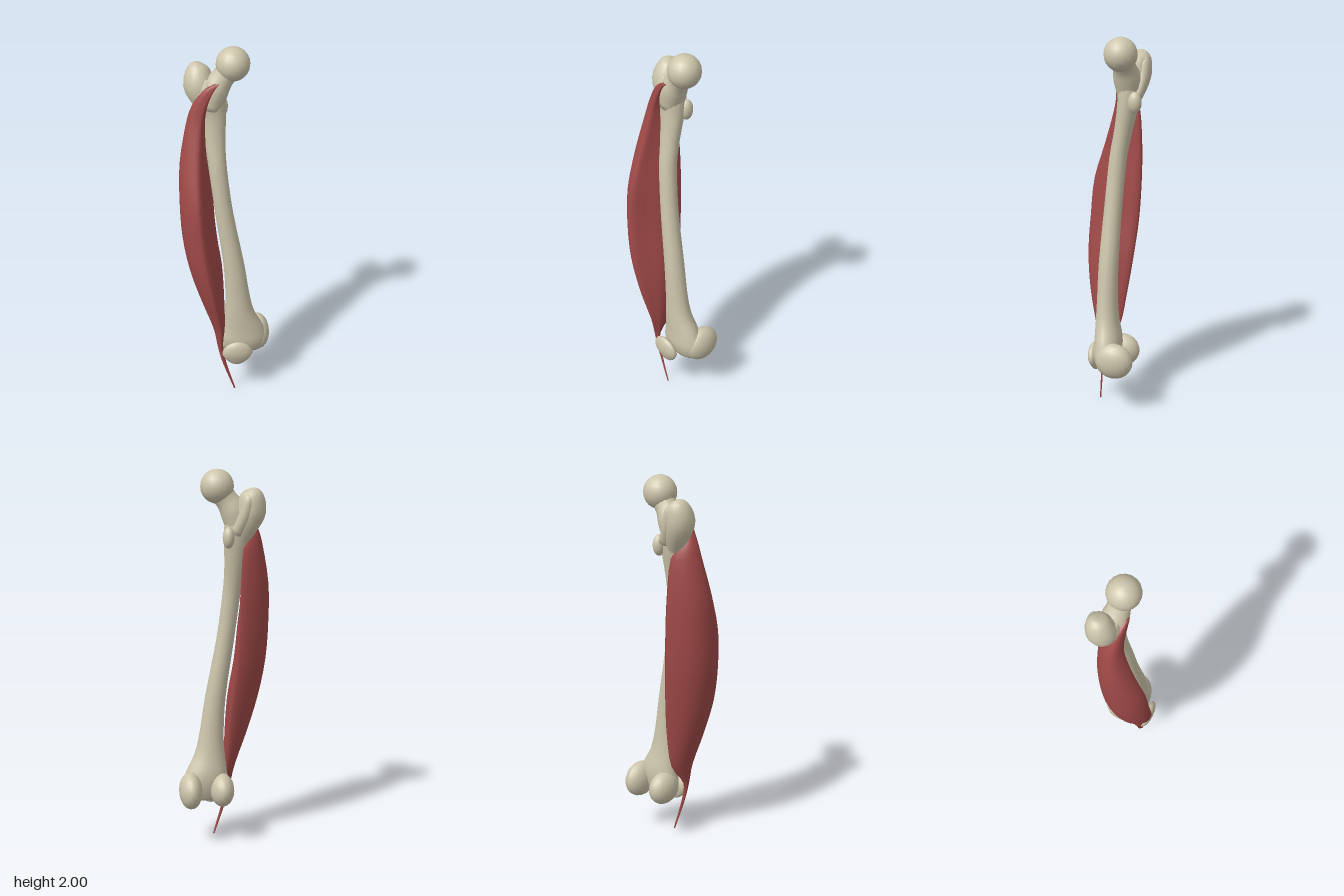
import * as THREE from 'three';

const bone = new THREE.MeshStandardMaterial({ color: 0xcdc5ab });
const flesh = new THREE.MeshStandardMaterial({ color: 0xa04a48 });
const V = (x, y, z) => new THREE.Vector3(x, y, z);

// Skin a list of equal-length rings, first ring on top, with capped ends
function loft(rings) {
  const n = rings[0].length, pos = [], idx = [];
  const add = p => pos.push(p.x, p.y, p.z);
  rings.forEach(r => r.forEach(add));
  for (let i = 0; i < rings.length - 1; i++) {
    for (let j = 0; j < n; j++) {
      const a = i * n + j, b = i * n + (j + 1) % n;
      idx.push(a, b, a + n, b, b + n, a + n);
    }
  }
  [0, rings.length - 1].forEach((k, bottom) => {
    const c = rings[k].reduce((s, p) => s.add(p), V(0, 0, 0)).divideScalar(n);
    const ci = pos.length / 3;
    add(c);
    for (let j = 0; j < n; j++) {
      const a = k * n + j, b = k * n + (j + 1) % n;
      if (bottom) idx.push(ci, a, b);
      else idx.push(ci, b, a);
    }
  });
  const g = new THREE.BufferGeometry();
  g.setAttribute('position', new THREE.Float32BufferAttribute(pos, 3));
  g.setIndex(idx);
  g.computeVertexNormals();
  return g;
}

// Smoothly resample rows of numbers with a Catmull-Rom spline
function resample(rows, steps) {
  const out = [], last = rows.length - 1;
  const cr = (a, b, c, d, t) => b + 0.5 * t * (c - a + t * (2 * a - 5 * b + 4 * c - d + t * (3 * (b - c) + d - a)));
  for (let i = 0; i < last; i++) {
    const q = [rows[Math.max(i - 1, 0)], rows[i], rows[i + 1], rows[Math.min(i + 2, last)]];
    for (let s = 0; s < steps; s++) out.push(q[1].map((_, k) => cr(q[0][k], q[1][k], q[2][k], q[3][k], s / steps)));
  }
  out.push(rows[last]);
  return out;
}

// Round limb along a path of [x, y, z, radius]
function limb(rows, sides = 16) {
  const pts = resample(rows, 3);
  return loft(pts.map((p, i) => {
    const a = pts[Math.max(i - 1, 0)], b = pts[Math.min(i + 1, pts.length - 1)];
    const dir = V(b[0] - a[0], b[1] - a[1], b[2] - a[2]).normalize();
    const q = new THREE.Quaternion().setFromUnitVectors(V(0, -1, 0), dir);
    return Array.from({ length: sides }, (_, j) => {
      const t = j / sides * Math.PI * 2;
      return V(Math.cos(t) * p[3], 0, Math.sin(t) * p[3]).applyQuaternion(q).add(V(p[0], p[1], p[2]));
    });
  }));
}

export function createModel() {
  const model = new THREE.Group();
  const put = (name, geo, mat) => {
    const m = new THREE.Mesh(geo, mat);
    m.name = name;
    model.add(m);
    return m;
  };
  const blob = (name, c, r) => {
    const m = put(name, new THREE.SphereGeometry(1, 18, 12), bone);
    m.position.set(...c);
    m.scale.set(...r);
    return m;
  };

  // Shaft: [y, centre x, centre z, radius x, radius z]
  const shaft = resample([
    [1.84, -0.10, -0.07, 0.05, 0.04], [1.77, -0.09, -0.068, 0.085, 0.066],
    [1.65, -0.066, -0.066, 0.07, 0.056], [1.5, -0.056, -0.043, 0.054, 0.048],
    [1.35, -0.043, -0.018, 0.047, 0.046], [1.1, -0.012, -0.002, 0.047, 0.047],
    [0.8, 0.037, 0.008, 0.055, 0.052], [0.6, 0.058, 0.008, 0.065, 0.055],
    [0.48, 0.07, 0.003, 0.082, 0.062], [0.38, 0.09, -0.008, 0.112, 0.072],
    [0.3, 0.095, -0.005, 0.125, 0.068], [0.235, 0.1, -0.005, 0.095, 0.045],
  ], 3);
  put('thighBoneShaft', loft(shaft.map(([y, cx, cz, rx, rz]) =>
    Array.from({ length: 20 }, (_, j) => {
      const t = j / 20 * Math.PI * 2;
      return V(cx + rx * Math.cos(t), y, cz + rz * Math.sin(t));
    }))), bone);

  // Upper end: ball head, neck and the two bony bumps
  blob('ballHead', [0.037, 1.913, -0.055], [0.086, 0.087, 0.086]);
  put('neck', limb([[0.03, 1.9, -0.055, 0.062], [-0.01, 1.845, -0.058, 0.058],
    [-0.05, 1.78, -0.062, 0.07], [-0.075, 1.68, -0.066, 0.06]]), bone);
  put('outerBump', limb([[-0.125, 1.902, -0.115, 0.02], [-0.13, 1.878, -0.11, 0.055], [-0.132, 1.8, -0.092, 0.077],
    [-0.105, 1.72, -0.085, 0.066], [-0.075, 1.62, -0.07, 0.035]]), bone);
  put('bumpRidge', limb([[-0.11, 1.88, -0.14, 0.012], [-0.11, 1.85, -0.137, 0.03],
    [-0.09, 1.77, -0.133, 0.032], [-0.05, 1.68, -0.11, 0.03]], 12), bone);
  blob('innerBump', [-0.012, 1.66, -0.115], [0.03, 0.055, 0.036]);

  // Knee end
  blob('innerCondyle', [0.182, 0.3, -0.065], [0.062, 0.098, 0.103]);
  blob('outerCondyle', [0.012, 0.295, -0.06], [0.064, 0.09, 0.097]);

  // Kneecap: flattened, pointed below
  const cap = new THREE.SphereGeometry(1, 16, 12);
  const p = cap.attributes.position;
  for (let i = 0; i < p.count; i++) {
    const y = p.getY(i), k = y < 0 ? 1 + 0.3 * y : 1;
    p.setXYZ(i, p.getX(i) * 0.084 * k, y * 0.078, p.getZ(i) * 0.032 * k + y * 0.008);
  }
  cap.computeVertexNormals();
  put('kneecap', cap, bone).position.set(0.052, 0.255, 0.08);

  // Outer thigh muscle, a crescent round the shaft that thins to a tendon:
  // [y, front lip x z, outer side x z, back lip x z, inner hollow x z]
  const muscle = resample([
    [1.83, -0.04, 0.01, -0.06, 0, -0.045, -0.015, -0.036, 0],
    [1.79, -0.07, 0.013, -0.12, -0.01, -0.09, -0.04, -0.06, -0.01],
    [1.7, -0.11, 0.015, -0.175, -0.025, -0.13, -0.07, -0.09, -0.025],
    [1.6, -0.13, 0.028, -0.205, -0.02, -0.09, -0.115, -0.1, -0.04],
    [1.4, -0.145, 0.085, -0.24, 0, -0.075, -0.13, -0.1, -0.02],
    [1.2, -0.145, 0.145, -0.245, 0.02, -0.065, -0.13, -0.08, 0],
    [1.0, -0.13, 0.162, -0.235, 0.035, -0.055, -0.12, -0.06, 0.005],
    [0.8, -0.1, 0.167, -0.2, 0.05, -0.035, -0.098, -0.028, 0.02],
    [0.6, -0.065, 0.145, -0.14, 0.045, -0.02, -0.07, -0.018, 0.045],
    [0.42, -0.035, 0.105, -0.078, 0.05, -0.02, -0.035, -0.015, 0.055],
    [0.3, -0.035, 0.08, -0.055, 0.065, -0.035, 0.045, -0.025, 0.062],
    [0.18, -0.015, 0.068, -0.026, 0.062, -0.013, 0.055, -0.006, 0.062],
    [0.0, 0.041, 0.058, 0.036, 0.055, 0.04, 0.051, 0.045, 0.055],
  ], 3);
  put('outerThighMuscle', loft(muscle.map(([y, lx, lz, ox, oz, bx, bz, ix, iz]) => {
    const pts = [];
    // elliptical outer face, front quarter then back quarter
    for (let k = 0; k <= 8; k++) {
      const t = k / 8 * Math.PI, front = k < 4;
      const cx = front ? lx : bx, tip = front ? lz : bz;
      pts.push(V(cx + (ox - cx) * Math.sin(t), y, oz + (tip - oz) * Math.abs(Math.cos(t))));
    }
    // hollow inner face
    pts.push(V(bx * 0.5 + ix * 0.5, y, bz * 0.5 + iz * 0.5), V(ix, y, iz),
      V(lx * 0.5 + ix * 0.5, y, lz * 0.5 + iz * 0.5));
    return new THREE.CatmullRomCurve3(pts, true).getPoints(28).slice(0, 28);
  })), flesh);

  return model;
}
